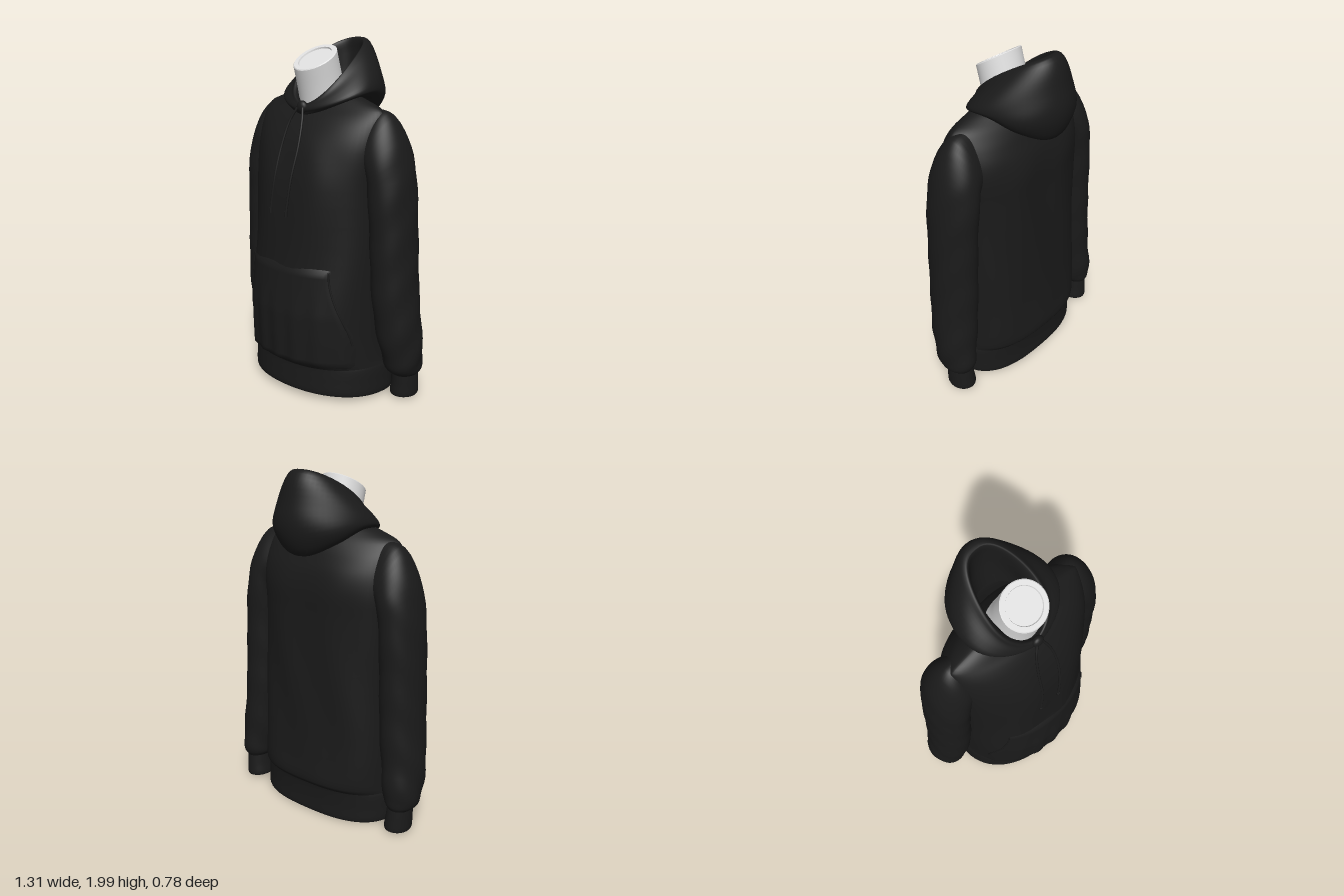
import * as THREE from 'three';

const V = (x, y, z) => new THREE.Vector3(x, y, z);
const { smoothstep, clamp } = THREE.MathUtils;
const N = 64; // points around every ring

// Closed ring: f maps an angle (0 = front, PI = back) to a point
const ring = (f) => Array.from({ length: N }, (_, j) => f((j / N) * Math.PI * 2));

function named(name, geo, mat) {
  const m = new THREE.Mesh(geo, mat);
  m.name = name;
  return m;
}

// Smooth skin through closed rings, optionally pushed along normals by folds(p)
function loft(name, rings, mat, { steps = 4, folds } = {}) {
  const rows = (rings.length - 1) * steps + 1;
  const curves = rings[0].map((_, j) => new THREE.CatmullRomCurve3(rings.map((r) => r[j]), false, 'centripetal'));
  const pos = [], idx = [];
  for (let i = 0; i < rows; i++) for (const c of curves) pos.push(...c.getPoint(i / (rows - 1)).toArray());
  for (let i = 0; i < rows - 1; i++) {
    for (let j = 0; j < N; j++) {
      const k = (j + 1) % N, a = i * N + j, b = i * N + k, c = a + N, d = b + N;
      idx.push(a, b, c, b, d, c);
    }
  }
  const geo = new THREE.BufferGeometry();
  geo.setAttribute('position', new THREE.Float32BufferAttribute(pos, 3));
  geo.setIndex(idx);
  geo.computeVertexNormals();
  if (folds) {
    const p = geo.attributes.position, n = geo.attributes.normal;
    for (let i = 0; i < p.count; i++) {
      const v = V().fromBufferAttribute(p, i);
      v.addScaledVector(V().fromBufferAttribute(n, i), folds(v));
      p.setXYZ(i, v.x, v.y, v.z);
    }
    geo.computeVertexNormals();
  }
  return named(name, geo, mat);
}

// Torso sections: y, half width, front z, back z, front and back squareness
const TORSO = [
  [0.19, 0.445, 0.34, -0.285, 2.15, 2.6], [0.22, 0.44, 0.365, -0.306, 2.15, 2.7], [0.35, 0.438, 0.372, -0.298, 2.15, 2.8],
  [0.5, 0.435, 0.375, -0.288, 2.15, 2.8], [0.8, 0.428, 0.343, -0.278, 2.15, 2.8], [1.2, 0.43, 0.313, -0.267, 2.2, 2.8],
  [1.35, 0.44, 0.28, -0.266, 2.2, 2.7], [1.45, 0.45, 0.245, -0.25, 2.1, 2.4], [1.53, 0.45, 0.2, -0.22, 2, 2.1],
  [1.58, 0.445, 0.165, -0.2, 1.8, 1.8], [1.62, 0.425, 0.13, -0.18, 1.6, 1.6], [1.66, 0.33, 0.1, -0.15, 1.6, 1.6],
  [1.7, 0.2, 0.07, -0.12, 1.8, 1.8],
];
const spow = (v, e) => Math.sign(v) * Math.abs(v) ** e;
const bodyRing = ([y, rx, zf, zb, nf, nb], tilt = 0) => ring((t) => {
  const c = Math.cos(t), n = c > 0 ? nf : nb, z = (c > 0 ? zf : -zb) * spow(c, 2 / n);
  return V(rx * spow(Math.sin(t), 2 / n), y + z * tilt, z);
});

// Front surface depth of the torso at x, y
function frontZ(x, y) {
  let i = 0;
  while (i < TORSO.length - 2 && TORSO[i + 1][0] < y) i++;
  const a = TORSO[i], b = TORSO[i + 1];
  const k = clamp((y - a[0]) / (b[0] - a[0]), 0, 1);
  const [, rx, zf, , n] = a.map((v, q) => v + (b[q] - v) * k);
  return zf * Math.max(0, 1 - Math.abs(x / rx) ** n) ** (1 / n);
}

// Sleeve sections: inner x, y, outer x, y, centre z, half depth, narrowing towards the outer side
const SLEEVE = [
  [0.33, 1.28, 0.36, 1.63, -0.03, 0.155, 0.5], [0.37, 1.26, 0.46, 1.605, -0.03, 0.175, 0.38],
  [0.375, 1.22, 0.548, 1.46, -0.035, 0.175, 0.2], [0.375, 1.15, 0.592, 1.27, -0.035, 0.168, 0.1],
  [0.38, 1, 0.612, 1.05, -0.037, 0.162, 0.1], [0.385, 0.8, 0.625, 0.8, -0.04, 0.158, 0.1],
  [0.395, 0.6, 0.635, 0.6, -0.045, 0.156, 0.1], [0.415, 0.4, 0.652, 0.4, -0.058, 0.146, 0.1],
  [0.44, 0.25, 0.65, 0.24, -0.078, 0.128, 0], [0.455, 0.185, 0.638, 0.17, -0.09, 0.11, 0],
  [0.478, 0.155, 0.615, 0.145, -0.1, 0.086, 0],
];
const CUFF = [
  [0.478, 0.16, 0.613, 0.15, -0.1, 0.085, 0], [0.472, 0.09, 0.614, 0.085, -0.105, 0.086, 0],
  [0.465, 0.022, 0.61, 0.016, -0.108, 0.086, 0], [0.477, 0.022, 0.598, 0.018, -0.108, 0.074, 0],
  [0.485, 0.08, 0.598, 0.08, -0.105, 0.07, 0], [0.535, 0.1, 0.545, 0.1, -0.105, 0.005, 0],
];
const armRing = ([ix, iy, ox, oy, zc, rz, narrow], s) => ring((t) => {
  const k = 0.5 + 0.5 * Math.sin(t);
  return V(s * (ix + (ox - ix) * k), iy + (oy - iy) * k, zc + rz * Math.cos(t) * (1 - narrow * k));
});

// Hood loops: front y, z, side x, y, z, back y, z, pointedness of the back
const HOOD = [
  [1.55, 0.07, 0.14, 1.64, -0.06, 1.62, -0.24, 0.9], [1.6, 0.11, 0.135, 1.78, -0.06, 1.9, -0.27, 0.85],
  [1.625, 0.145, 0.145, 1.815, -0.02, 1.97, -0.262, 0.8], [1.635, 0.16, 0.163, 1.825, 0, 1.99, -0.268, 0.8],
  [1.625, 0.17, 0.19, 1.815, -0.025, 1.99, -0.31, 0.9], [1.615, 0.175, 0.24, 1.785, -0.045, 1.9, -0.355, 1.05],
  [1.605, 0.175, 0.288, 1.735, -0.06, 1.77, -0.385, 1.08], [1.595, 0.17, 0.295, 1.705, -0.07, 1.64, -0.383, 1.03],
  [1.58, 0.165, 0.262, 1.68, -0.07, 1.55, -0.335, 0.95], [1.57, 0.15, 0.21, 1.675, -0.07, 1.54, -0.27, 0.95],
  [1.57, 0.12, 0.18, 1.68, -0.06, 1.6, -0.18, 1],
];
const hoodRing = ([fy, fz, sx, sy, sz, by, bz, point]) => ring((t) => {
  const u = Math.cos(t);
  const q = (f, m, b) => m + (u * (f - b)) / 2 + u * u * ((f + b) / 2 - m);
  const e = u > 0 ? 1 + 0.2 * u : 1 - u * (point - 1);
  return V(sx * spow(Math.sin(t), e), q(fy, sy, by), q(fz, sz, bz));
});

// Neck loops: centre y, z, radius, lean of the loop
const neckRing = ([cy, cz, r, a]) => ring((t) =>
  V(r * Math.sin(t), cy - r * Math.cos(t) * Math.sin(a), cz + r * Math.cos(t) * Math.cos(a)));

export function createModel() {
  const model = new THREE.Group();
  model.name = 'hoodedSweatshirt';
  const fabric = new THREE.MeshStandardMaterial({ color: 0x1a1a1a, side: THREE.DoubleSide });
  fabric.name = 'blackFabric';
  const grey = new THREE.MeshStandardMaterial({ color: 0xdedede, side: THREE.DoubleSide });
  grey.name = 'lightGrey';

  // Body with soft vertical folds
  const fade = (y) => smoothstep(y, 0.2, 0.35) * (1 - smoothstep(y, 1.3, 1.55));
  model.add(loft('torso', TORSO.map((r) => bodyRing(r)), fabric, {
    folds: (p) => 0.005 * fade(p.y) * Math.sin(20 * p.x + 2 * Math.sin(4 * p.y)),
  }));

  // Ribbed hem, turned in at the bottom
  model.add(loft('hem', [
    [0.2, 0.44, 0.338, -0.28, 2.15, 2.6], [0.175, 0.448, 0.335, -0.275, 2.15, 2.6], [0.1, 0.452, 0.337, -0.27, 2.15, 2.6],
    [0.02, 0.45, 0.335, -0.268, 2.15, 2.6], [0.02, 0.435, 0.32, -0.253, 2.15, 2.6], [0.14, 0.43, 0.315, -0.25, 2.15, 2.6],
  ].map((r) => bodyRing(r, r[0] < 0.15 ? 0.05 : 0.02)), fabric));

  // Closed underside of the form inside
  model.add(loft('formBase', [
    [0.095, 0.437, 0.322, -0.255, 2.15, 2.6], [0.095, 0.0002, 0.0002, -0.0002, 2, 2],
  ].map((r) => bodyRing(r, 0.05)), grey, { steps: 1 }));

  // Sleeves and cuffs
  for (const s of [1, -1]) {
    const arm = new THREE.Group();
    arm.name = s > 0 ? 'leftSleeve' : 'rightSleeve';
    const slack = (y) => smoothstep(y, 0.15, 0.22) * (1 - 0.6 * smoothstep(y, 0.2, 0.6)) * (1 - smoothstep(y, 1.3, 1.5));
    arm.add(loft('sleeve', SLEEVE.map((r) => armRing(r, s)), fabric, {
      folds: (p) => 0.005 * slack(p.y) * Math.sin(24 * p.y + 30 * p.z),
    }));
    arm.add(loft('cuff', CUFF.map((r) => armRing(r, s)), fabric));
    model.add(arm);
  }

  // Hood: inner lining, rim, outer bag and collar in one skin
  model.add(loft('hood', HOOD.map(hoodRing), fabric, {
    folds: (p) => 0.003 * Math.sin(28 * p.y + 16 * p.z),
  }));

  // Neck with a slanted, recessed cap
  const lean = 0.55;
  model.add(loft('neck', [
    [1.55, -0.03, 0.15, 0.1], [1.66, 0.005, 0.132, 0.2], [1.77, 0.035, 0.128, 0.4], [1.885, 0.068, 0.129, lean],
  ].map(neckRing), grey));
  const cap = [[1.885, 0.068, 0.129], [1.889, 0.07, 0.124], [1.889, 0.07, 0.099], [1.882, 0.066, 0.096], [1.882, 0.066, 0.0002]];
  cap.slice(1).forEach((c, i) => model.add(
    loft('neckCap', [cap[i], c].map((r) => neckRing([...r, lean])), grey, { steps: 1 })));

  // Front pocket laid over the torso, wider towards the hem
  const top = 0.77, bottom = 0.195;
  const half = (y) => 0.305 + 0.1 * smoothstep(0.8 - y, 0.04, 0.5);
  const pocket = new THREE.PlaneGeometry(2, 1, 48, 24);
  const pp = pocket.attributes.position;
  for (let i = 0; i < pp.count; i++) {
    const u = pp.getX(i), v = pp.getY(i) + 0.5;
    const y = bottom + (top - bottom) * v, x = u * half(y);
    const edge = Math.abs(u) > 0.99 || v > 0.99 || v < 0.01;
    const ripple = 0.005 * Math.cos(48 * x) * (1 - smoothstep(v, 0.3, 0.9));
    pp.setXYZ(i, x, y, frontZ(x, y) + (edge ? -0.004 : 0.012 + ripple));
  }
  pocket.computeVertexNormals();
  model.add(named('frontPocket', pocket, fabric));

  // Piping along the slanted pocket openings
  for (const s of [1, -1]) {
    const pts = Array.from({ length: 8 }, (_, i) => {
      const y = top - 0.01 - i * 0.06, x = s * (half(y) - 0.006);
      return V(x, y, frontZ(x, y) + 0.008);
    });
    model.add(named('pocketPiping', new THREE.TubeGeometry(new THREE.CatmullRomCurve3(pts), 30, 0.006, 6), fabric));
  }

  // Drawstrings hanging from a knot at the throat
  const cords = [
    [[-0.02, 1.62], [-0.05, 1.55], [-0.07, 1.42], [-0.08, 1.25], [-0.1, 1.05]],
    [[0.02, 1.62], [0.045, 1.55], [0.06, 1.42], [0.05, 1.25], [0.03, 1.05]],
  ];
  for (const c of cords) {
    const pts = c.map(([x, y], i) => V(x, y, i === 0 ? 0.185 : i === 1 ? 0.215 : frontZ(x, y) + 0.005));
    model.add(named('drawstring', new THREE.TubeGeometry(new THREE.CatmullRomCurve3(pts), 40, 0.007, 8), fabric));
    const tip = named('drawstringTip', new THREE.CylinderGeometry(0.009, 0.009, 0.03, 10), fabric);
    tip.position.copy(pts[4]);
    model.add(tip);
  }
  const knot = named('knot', new THREE.SphereGeometry(0.036, 20, 14), fabric);
  knot.scale.set(1, 1, 0.7);
  knot.position.set(0, 1.622, 0.168);
  model.add(knot);

  return model;
}
